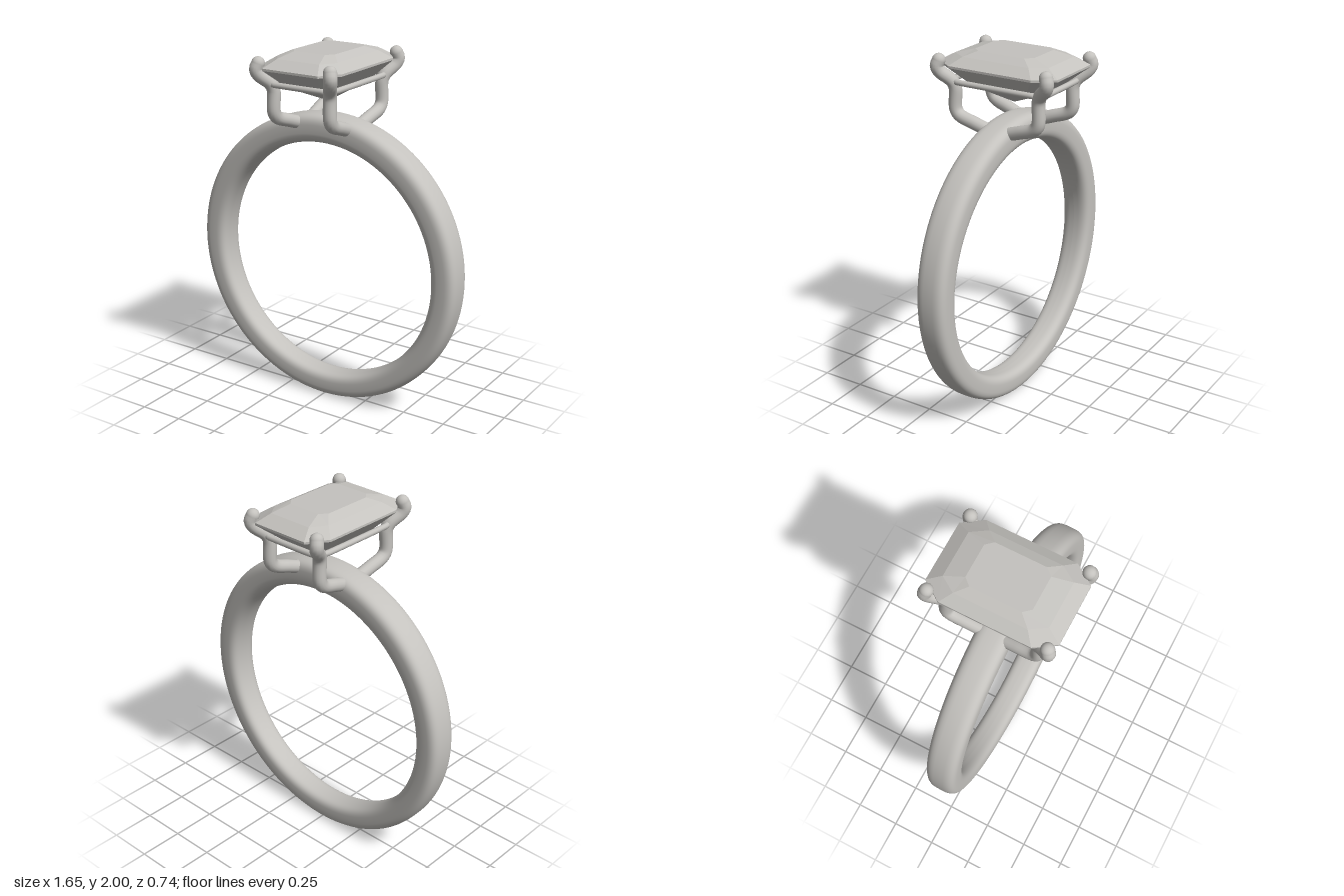
import * as THREE from 'three';

const silver = new THREE.MeshStandardMaterial({ color: 0xc4c2be });
silver.name = 'silver';

const add = (parent, name, geometry) => {
  const mesh = new THREE.Mesh(geometry, silver);
  mesh.name = name;
  parent.add(mesh);
  return mesh;
};

// Rounded band, slightly wider and thicker at the top
function bandGeometry() {
  const power = (v, p) => Math.sign(v) * Math.abs(v) ** p;
  const profile = [];
  for (let i = 0; i <= 40; i++) {
    const t = -Math.PI + (i / 40) * Math.PI * 2;
    profile.push(new THREE.Vector2(0.75 + 0.075 * power(Math.cos(t), 0.65), 0.087 * power(Math.sin(t), 0.6)));
  }
  const g = new THREE.LatheGeometry(profile, 128).rotateX(Math.PI / 2);
  const p = g.attributes.position;
  for (let i = 0; i < p.count; i++) {
    const x = p.getX(i), y = p.getY(i);
    const inner = THREE.MathUtils.clamp((0.825 - Math.hypot(x, y)) / 0.15, 0, 1);
    p.setY(i, y - 0.01 * inner);
    p.setZ(i, p.getZ(i) * (1 + 0.1 * (y / 0.825)));
  }
  return g.translate(0, 0.825, 0);
}

// Octagon with cut corners: half width, half depth, and where each cut begins
const octagon = (hx, hz, cx, cz) => [
  [hx, cz], [cx, hz], [-cx, hz], [-hx, cz], [-hx, -cz], [-cx, -hz], [cx, -hz], [hx, -cz],
];

// Step-cut stone, from the table down to the culet
function stoneGeometry() {
  const layers = [
    [2.0, 0, 0, 0, 0],
    [2.0, 0.13, 0.18, 0.095, 0.14],
    [1.972, 0.185, 0.285, 0.13, 0.2],
    [1.93, 0.245, 0.36, 0.17, 0.25],
    [1.918, 0.245, 0.36, 0.17, 0.25],
    [1.81, 0.145, 0.225, 0.1, 0.155],
    [1.715, 0, 0, 0, 0],
  ].map(([y, ...o]) => octagon(...o).map(([x, z]) => [x, y, z]));
  const out = [];
  for (let i = 0; i < layers.length - 1; i++) {
    const top = layers[i], low = layers[i + 1];
    for (let j = 0; j < 8; j++) {
      const k = (j + 1) % 8;
      if (i > 0) out.push(...top[j], ...top[k], ...low[j]);
      if (i < layers.length - 2) out.push(...top[k], ...low[k], ...low[j]);
    }
  }
  const g = new THREE.BufferGeometry();
  g.setAttribute('position', new THREE.Float32BufferAttribute(out, 3));
  g.computeVertexNormals();
  return g;
}

// Bent claw with rounded ends; sx and sz choose the corner
function makeProng(sx, sz) {
  const prong = new THREE.Group();
  const pts = [
    [0.155, 1.585, 0.05], [0.165, 1.615, 0.14], [0.174, 1.648, 0.23], [0.176, 1.68, 0.254],
    [0.176, 1.80, 0.256], [0.186, 1.835, 0.27], [0.22, 1.885, 0.322],
    [0.23, 1.915, 0.334], [0.222, 1.947, 0.325],
  ].map(([x, y, z]) => new THREE.Vector3(x * sx, y, z * sz));
  const path = new THREE.CatmullRomCurve3(pts, false, 'centripetal');
  add(prong, 'prongRod', new THREE.TubeGeometry(path, 48, 0.036, 16));
  for (const [name, end] of [['prongTip', pts[pts.length - 1]], ['prongFoot', pts[0]]]) {
    add(prong, name, new THREE.SphereGeometry(0.036, 16, 12)).position.copy(end);
  }
  return prong;
}

// Thin rail that links the prongs under the stone
function railGeometry() {
  const corners = octagon(0.198, 0.285, 0.155, 0.22).map(([x, z]) => new THREE.Vector3(x, 1.834, z));
  const path = new THREE.CatmullRomCurve3(corners, true, 'catmullrom', 0.15);
  return new THREE.TubeGeometry(path, 120, 0.016, 10, true);
}

export function createModel() {
  const ring = new THREE.Group();
  ring.name = 'ring';
  add(ring, 'band', bandGeometry());
  add(ring, 'stone', stoneGeometry());
  add(ring, 'rail', railGeometry());
  for (const sx of [1, -1]) {
    for (const sz of [1, -1]) {
      const prong = makeProng(sx, sz);
      prong.name = `${sz > 0 ? 'front' : 'back'}${sx > 0 ? 'Left' : 'Right'}Prong`;
      ring.add(prong);
    }
  }
  return ring;
}
